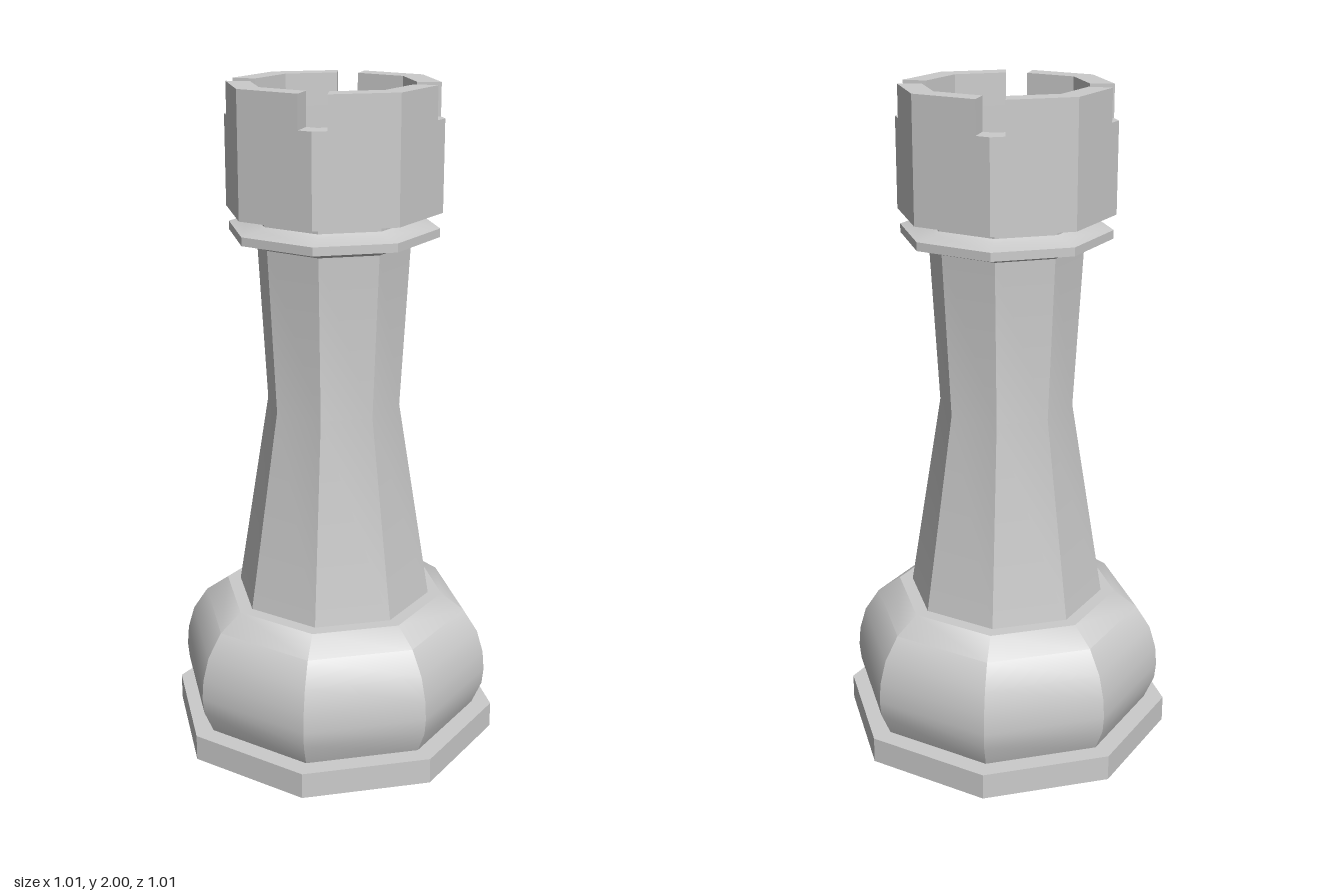
import * as THREE from 'three';
import { toCreasedNormals } from 'three/addons/utils/BufferGeometryUtils.js';

const SIDES = 8;

export function createModel() {
  const group = new THREE.Group();
  const material = new THREE.MeshStandardMaterial({ color: 0xcccccc });

  // Eight-sided turned part from a profile of [radius, height], bottom to top
  const turned = (name, profile) => {
    const points = profile.map(([r, y]) => new THREE.Vector2(r, y));
    const geometry = toCreasedNormals(new THREE.LatheGeometry(points, SIDES), 0.62);
    const mesh = new THREE.Mesh(geometry, material);
    mesh.name = name;
    group.add(mesh);
  };

  turned('basePlate', [[0, 0], [0.505, 0], [0.505, 0.08], [0.4, 0.08]]);

  turned('baseBulge', [
    [0.445, 0.08], [0.475, 0.15], [0.48, 0.2], [0.475, 0.26], [0.455, 0.33],
    [0.41, 0.4], [0.34, 0.45], [0.27, 0.45],
  ]);

  turned('stem', [[0.3, 0.44], [0.2, 1.06], [0.227, 1.55]]);

  // Thin flange and neck below the crown
  turned('collar', [
    [0.225, 1.545], [0.24, 1.555], [0.31, 1.57], [0.31, 1.595],
    [0.25, 1.607], [0.235, 1.615], [0.235, 1.64],
  ]);

  // Hollow crown up to the bottom of the notches
  const outer = 0.317, inner = 0.245, notch = 1.905, top = 2;
  turned('crown', [
    [0.2, 1.64], [outer, 1.64], [outer, notch], [inner, notch], [inner, 1.7], [0, 1.7],
  ]);

  // Four battlements, one per quadrant, with notches on the axes
  const c = Math.SQRT1_2;
  const onEdge = (r, y) => r - y * (1 - c) / c;
  const oy = 0.04, iy = 0.031;
  const shape = new THREE.Shape([
    [onEdge(outer, oy), oy], [outer * c, outer * c], [oy, onEdge(outer, oy)],
    [iy, onEdge(inner, iy)], [inner * c, inner * c], [onEdge(inner, iy), iy],
  ].map(([x, y]) => new THREE.Vector2(x, y)));
  const battlement = new THREE.ExtrudeGeometry(shape, { depth: top - notch, bevelEnabled: false });
  battlement.rotateX(-Math.PI / 2);
  for (let i = 0; i < 4; i++) {
    const mesh = new THREE.Mesh(battlement, material);
    mesh.name = 'battlement' + (i + 1);
    mesh.position.y = notch;
    mesh.rotation.y = i * Math.PI / 2;
    group.add(mesh);
  }

  return group;
}
